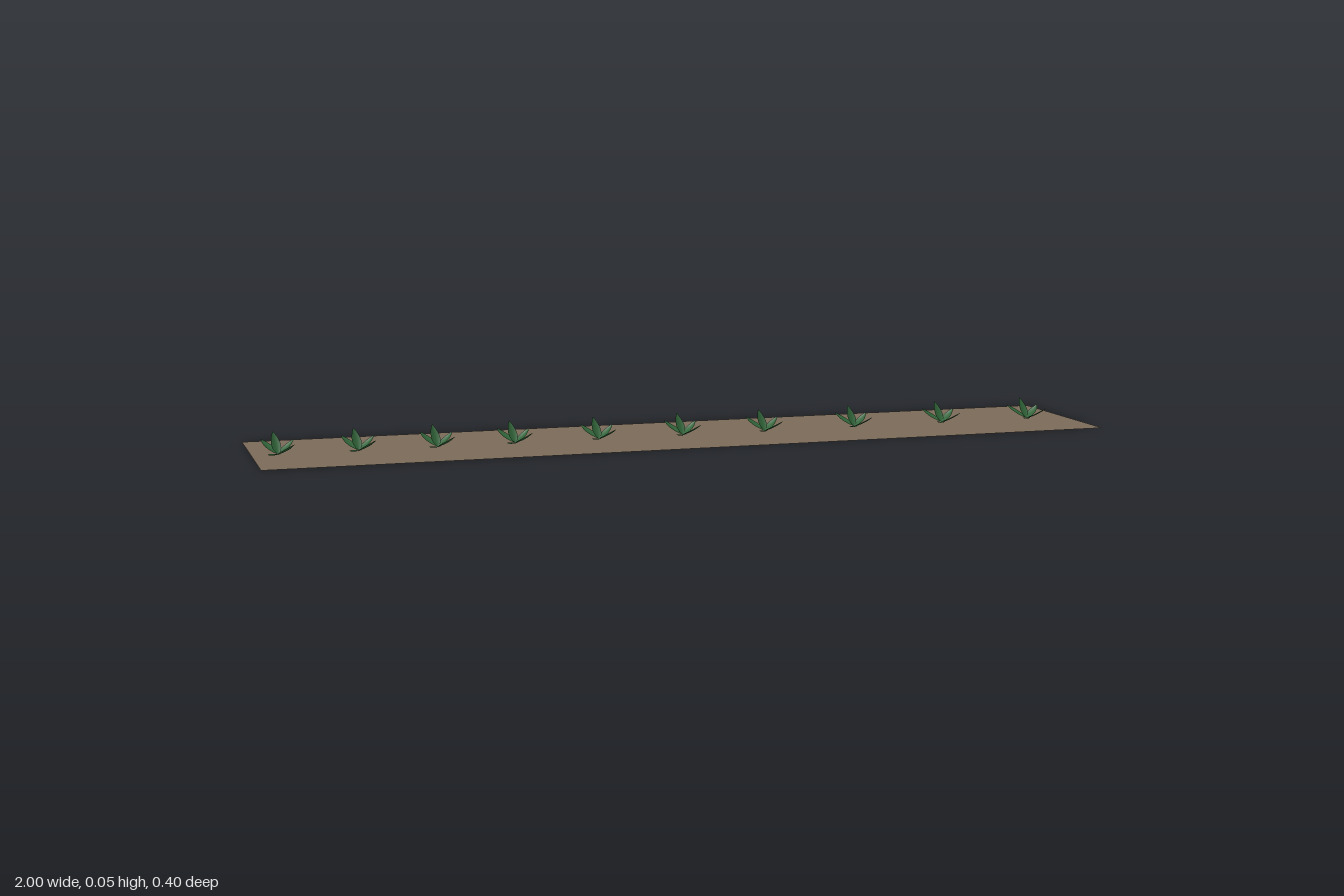
import * as THREE from 'three';

const leafMaterial = new THREE.MeshStandardMaterial({ color: 0x2f6237, side: THREE.DoubleSide });
const soilMaterial = new THREE.MeshStandardMaterial({ color: 0x7a6a58, side: THREE.DoubleSide });

// Pointed, slightly cupped blade swept along an upward-bending curve
function leafGeometry(tip, halfWidth) {
  const end = new THREE.Vector3(...tip);
  const bend = new THREE.Vector3(end.x * 0.55, end.y * 0.36, end.z * 0.55);
  const curve = new THREE.QuadraticBezierCurve3(new THREE.Vector3(0, 0.002, 0), bend, end);
  const side = new THREE.Vector3(end.z, 0, -end.x).normalize();
  const rows = 10, cols = 4, positions = [], index = [];
  for (let i = 0; i <= rows; i++) {
    const t = i / rows;
    const p = curve.getPoint(t);
    const normal = curve.getTangent(t).cross(side).normalize();
    const w = halfWidth * Math.pow(Math.sin(Math.PI * Math.pow(t, 0.9)), 0.8) + 0.0003;
    for (let j = 0; j <= cols; j++) {
      const u = (j / cols) * 2 - 1;
      const q = p.clone().addScaledVector(side, u * w).addScaledVector(normal, u * u * w * 0.25);
      positions.push(q.x, Math.max(q.y, 0), q.z);
      if (i < rows && j < cols) {
        const a = i * (cols + 1) + j, b = a + cols + 1;
        index.push(a, b, a + 1, b, b + 1, a + 1);
      }
    }
  }
  const geometry = new THREE.BufferGeometry();
  geometry.setAttribute('position', new THREE.Float32BufferAttribute(positions, 3));
  geometry.setIndex(index);
  geometry.computeVertexNormals();
  return geometry;
}

export function createModel() {
  const group = new THREE.Group();

  // Strip of soil
  const soil = new THREE.Mesh(new THREE.PlaneGeometry(2, 0.4).rotateX(-Math.PI / 2), soilMaterial);
  soil.name = 'soil';
  soil.position.y = 0.002;
  group.add(soil);

  // Five leaves: tip position and half width
  const leaves = [
    [[-0.027, 0.009, 0.047], 0.009],
    [[0.032, 0.029, 0.038], 0.009],
    [[0.037, 0.032, -0.021], 0.0105],
    [[-0.008, 0.05, -0.028], 0.011],
    [[-0.033, 0.031, -0.048], 0.0105],
  ].map(([tip, width]) => leafGeometry(tip, width));

  // Row of seedlings, spaced a little wider towards one end
  const row = [-0.94, -0.76, -0.58, -0.4, -0.2, 0.005, 0.21, 0.44, 0.67, 0.9];
  for (const x of row) {
    const seedling = new THREE.Group();
    seedling.name = 'seedling';
    for (const geometry of leaves) {
      const leaf = new THREE.Mesh(geometry, leafMaterial);
      leaf.name = 'leaf';
      seedling.add(leaf);
    }
    seedling.position.x = x;
    group.add(seedling);
  }
  return group;
}
